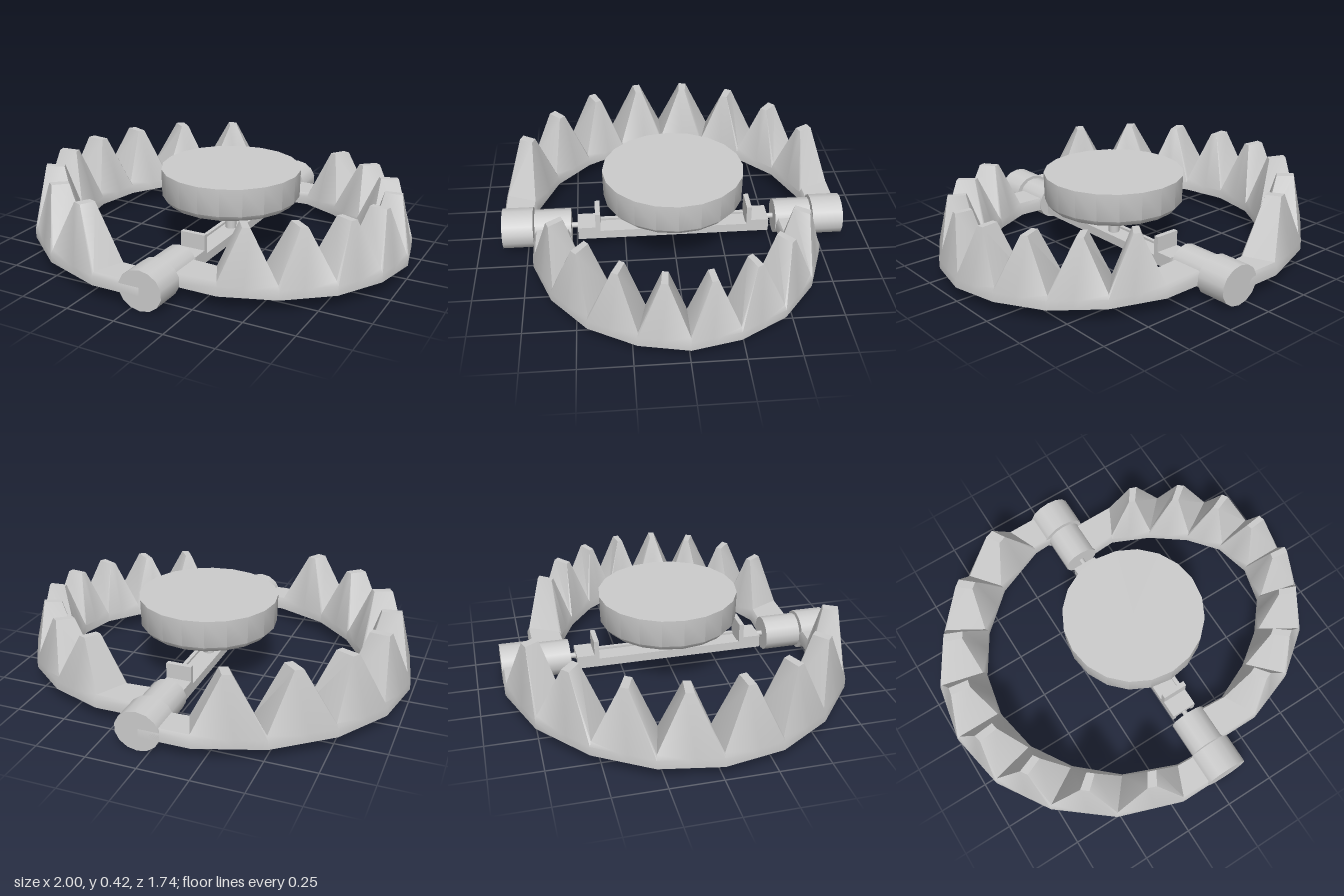
import * as THREE from 'three';
import { toCreasedNormals } from 'three/addons/utils/BufferGeometryUtils.js';

const GREY = new THREE.MeshStandardMaterial({ color: 0xcccccc });
const AXIS_X = 0.055;   // hinge line, shared by both jaws and the pan

function add(parent, name, geometry, x = 0, y = 0, z = 0) {
  const mesh = new THREE.Mesh(geometry, GREY);
  mesh.name = name;
  mesh.position.set(x, y, z);
  parent.add(mesh);
  return mesh;
}

const mix = (a, b, t) => a + (b - a) * t;

// Jaw swept from six-point cross-sections. Each half-plan row is
// [outer x, outer z, inner x, inner z], from the hinge round to the middle.
function jawGeometry(halfPlan, tipY, side) {
  const mirrored = halfPlan.slice(0, -1).reverse().map(([ox, oz, ix, iz]) => [ox, -oz, ix, -iz]);
  const plan = [...halfPlan, ...mirrored];
  const stations = [];
  const station = (p, topY, f0, f1) => {
    const at = (f, y) => [mix(p[0], p[2], f), y, mix(p[1], p[3], f)];
    stations.push([at(0, 0.07), at(0, 0.115), at(f0, topY), at(f1, topY), at(1, 0.115), at(1, 0.07)]);
  };
  plan.forEach((p, i) => {
    station(p, 0.135, 0.06, 0.94);
    // one tooth per segment, except on the two tails by the hinge
    if (i > 0 && i < plan.length - 2) {
      for (const t of [0.43, 0.57]) {
        station(p.map((v, k) => mix(v, plan[i + 1][k], t)), tipY, 0.26, 0.66);
      }
    }
  });
  const pos = [];
  const quad = (a, b, c, d) => {
    const q = side > 0 ? [a, d, c, a, c, b] : [a, b, c, a, c, d];
    q.forEach((v) => pos.push(...v));
  };
  for (let s = 0; s < stations.length - 1; s++) {
    for (let k = 0; k < 6; k++) {
      const n = (k + 1) % 6;
      quad(stations[s][k], stations[s][n], stations[s + 1][n], stations[s + 1][k]);
    }
  }
  const g = new THREE.BufferGeometry();
  g.setAttribute('position', new THREE.Float32BufferAttribute(pos, 3));
  return toCreasedNormals(g, 0.75);
}

function makeJaw(name, halfPlan, tipY, side, rx, ry, z0, z1) {
  const jaw = new THREE.Group();
  jaw.name = name;
  add(jaw, 'toothedArc', jawGeometry(halfPlan, tipY, side));
  // hinge knuckles at both ends
  for (const s of [1, -1]) {
    const g = new THREE.CylinderGeometry(1, 1, z1 - z0, 14).rotateX(Math.PI / 2).scale(rx, ry, 1);
    add(jaw, 'hingeKnuckle', g, AXIS_X, 0.1, s * (z0 + z1) / 2);
  }
  return jaw;
}

export function createModel() {
  const model = new THREE.Group();
  model.name = 'jawTrap';

  // Wide jaw on the right, narrower jaw nested inside it on the left
  model.add(makeJaw('wideJaw', [
    [0.05, 0.872, 0.05, 0.715], [-0.2, 0.872, -0.13, 0.705], [-0.52, 0.76, -0.39, 0.6],
    [-0.78, 0.55, -0.58, 0.43], [-0.945, 0.29, -0.705, 0.23], [-1, 0, -0.75, 0],
  ], 0.41, -1, 0.112, 0.1, 0.715, 0.872));
  model.add(makeJaw('narrowJaw', [
    [0.06, 0.708, 0.06, 0.523], [0.35, 0.708, 0.26, 0.535], [0.61, 0.615, 0.45, 0.45],
    [0.82, 0.45, 0.62, 0.325], [0.95, 0.23, 0.74, 0.18], [1, 0, 0.785, 0],
  ], 0.383, 1, 0.092, 0.088, 0.523, 0.708));

  // Pressure pan with a slightly bevelled underside
  const panProfile = [[0, 0.25], [0.325, 0.25], [0.352, 0.28], [0.355, 0.42], [0, 0.42]]
    .map(([x, y]) => new THREE.Vector2(x, y));
  add(model, 'pan', toCreasedNormals(new THREE.LatheGeometry(panProfile, 20), 0.75), AXIS_X);
  add(model, 'panPost', new THREE.CylinderGeometry(0.028, 0.028, 0.19, 12), AXIS_X, 0.165, 0);

  // Base bar: a channel with raised rails
  const base = new THREE.Group();
  base.name = 'baseBar';
  model.add(base);
  add(base, 'barWeb', new THREE.BoxGeometry(0.12, 0.02, 0.97), AXIS_X, 0.078, 0);
  for (const s of [1, -1]) {
    add(base, 'barRail', new THREE.BoxGeometry(0.02, 0.045, 0.98), AXIS_X + s * 0.055, 0.0775, 0);
    // stepped bracket, rivet and hinge pin at each end
    add(base, 'bracketFoot', new THREE.BoxGeometry(0.13, 0.035, 0.09), AXIS_X, 0.105, s * 0.445);
    add(base, 'bracketTab', new THREE.BoxGeometry(0.13, 0.11, 0.025), AXIS_X, 0.145, s * 0.388);
    add(base, 'rivet', new THREE.CylinderGeometry(0.018, 0.018, 0.02, 10), AXIS_X, 0.068, s * 0.25);
    add(base, 'hingePin', new THREE.CylinderGeometry(0.014, 0.014, 0.08, 10).rotateX(Math.PI / 2),
      AXIS_X, 0.1, s * 0.5);
  }
  return model;
}
